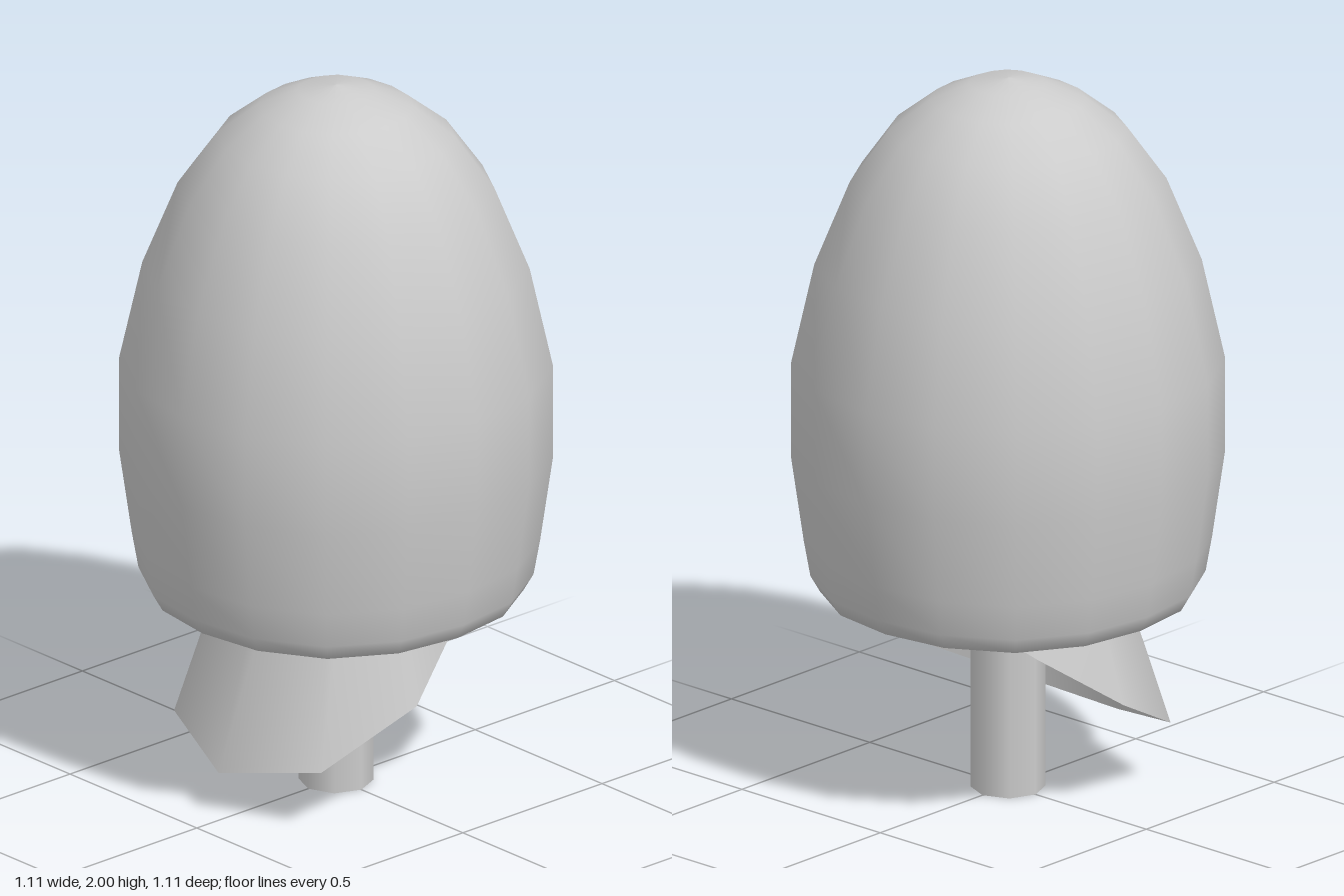
import * as THREE from 'three';

const grey = new THREE.MeshStandardMaterial({ color: 0xcccccc, side: THREE.DoubleSide });

function addMesh(group, name, geometry) {
  const mesh = new THREE.Mesh(geometry, grey);
  mesh.name = name;
  group.add(mesh);
  return mesh;
}

// Egg-shaped hood: inner wall from the top down, round the rim, then the outer wall up
function hoodGeometry() {
  const profile = [
    [0, 1.94], [0.19, 1.88], [0.35, 1.68], [0.445, 1.46], [0.505, 1.19],
    [0.505, 0.94], [0.46, 0.65], [0.43, 0.575], [0.45, 0.555], [0.48, 0.555],
    [0.505, 0.6], [0.522, 0.7], [0.555, 0.94], [0.555, 1.2], [0.495, 1.48],
    [0.405, 1.71], [0.305, 1.855], [0.2, 1.94], [0.1, 1.985], [0, 2],
  ].map(([r, y]) => new THREE.Vector2(r, y));
  const geo = new THREE.LatheGeometry(profile, 16);
  // Slightly squared plan
  const p = geo.attributes.position;
  for (let i = 0; i < p.count; i++) {
    const x = p.getX(i), z = p.getZ(i);
    const k = 1 + 0.02 * (1 - Math.cos(4 * Math.atan2(x, z)));
    p.setX(i, x * k);
    p.setZ(i, z * k);
  }
  return geo;
}

// Eight-sided funnel with an oblique lower edge, narrowing to the post inside the hood
function funnelGeometry() {
  const half = [[0.3, 0.61, 0], [0.22, 0.49, 0.278], [-0.02, 0.32, 0.37],
    [-0.29, 0.18, 0.29], [-0.395, 0.12, 0]];
  const zMid = -0.03;
  const lower = [...half, ...half.slice(1, 4).reverse().map(([x, y, z]) => [x, y, -z])];
  const positions = [], index = [];
  lower.forEach(([x, y, z], i) => {
    const a = i * Math.PI / 4;
    positions.push(x, y, z + zMid, 0.11 * Math.cos(a), 1.2, 0.11 * Math.sin(a));
    const b = 2 * i, n = 2 * ((i + 1) % 8);
    index.push(b, b + 1, n, n, b + 1, n + 1);
  });
  const geo = new THREE.BufferGeometry();
  geo.setAttribute('position', new THREE.Float32BufferAttribute(positions, 3));
  geo.setIndex(index);
  geo.computeVertexNormals();
  return geo;
}

export function createModel() {
  const group = new THREE.Group();
  group.name = 'hoodedPost';
  addMesh(group, 'hood', hoodGeometry());
  addMesh(group, 'funnel', funnelGeometry());
  // Hollow post
  const post = addMesh(group, 'post', new THREE.CylinderGeometry(0.1, 0.1, 1.3, 8, 1, true));
  post.position.y = 0.65;
  return group;
}
